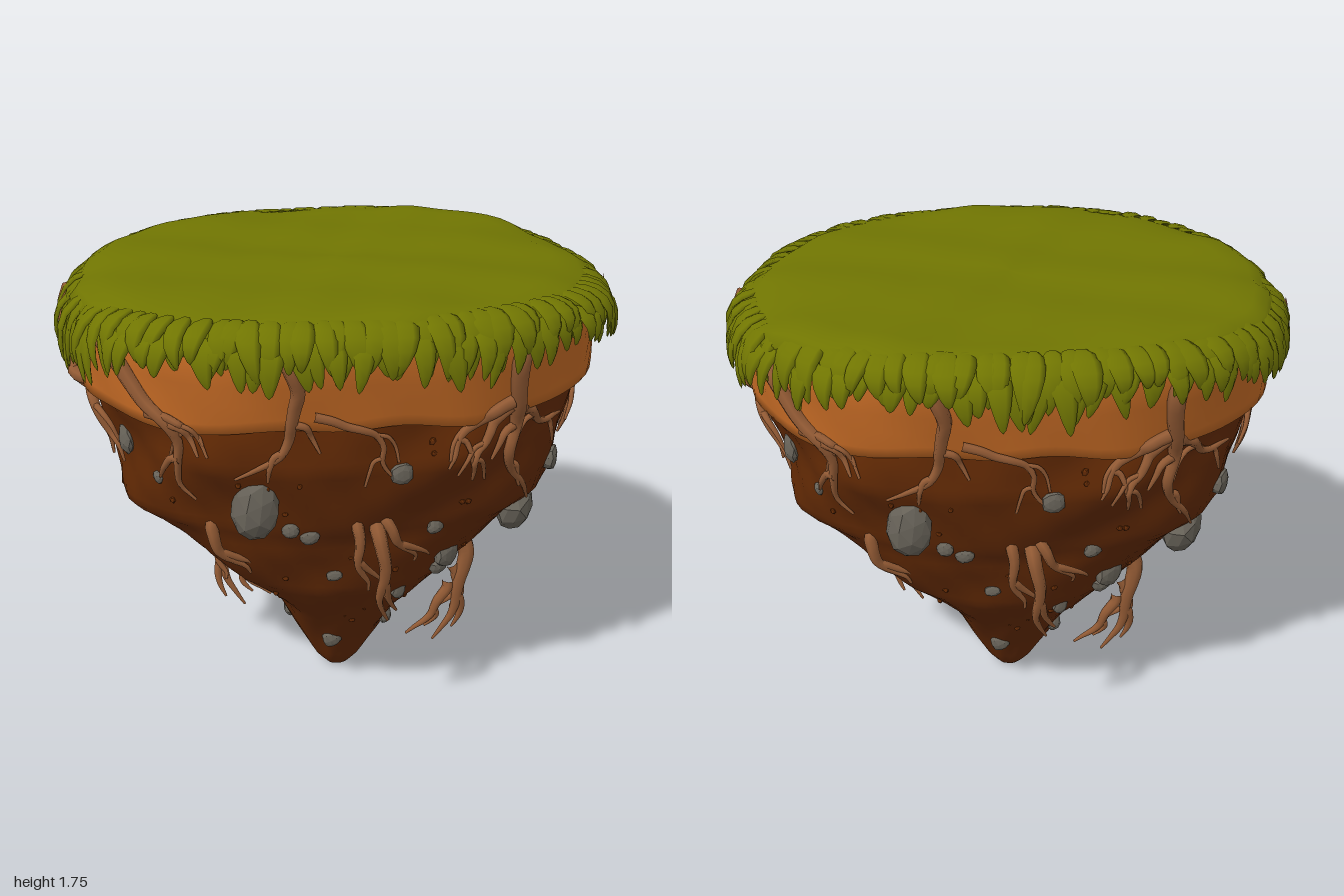
import * as THREE from 'three';
import { mergeGeometries } from 'three/addons/utils/BufferGeometryUtils.js';

const { sin, cos, abs, atan2, PI } = Math;
const V = (x, y, z) => new THREE.Vector3(x, y, z);
const mat = (name, color, extra = {}) => new THREE.MeshStandardMaterial({ name, color, ...extra });

// Half-widths by height: [y, x radius, z radius]
const DIRT = [[0, 0.005, 0.005], [0.01, 0.05, 0.06], [0.05, 0.085, 0.095], [0.2, 0.165, 0.175], [0.4, 0.265, 0.31],
  [0.6, 0.48, 0.465], [0.8, 0.67, 0.55], [0.87, 0.75, 0.57], [0.92, 0.82, 0.595], [1.2, 0.865, 0.695], [1.4, 0.9, 0.7]];
const CLAY = [[1.335, 0.87, 0.67], [1.35, 0.935, 0.715], [1.6, 0.945, 0.77], [1.7, 0.9, 0.76]];

let seed = 7;
const rnd = () => (seed = (seed * 16807) % 2147483647) / 2147483647;

// Point on a rounded-oval ring
function ring(a, y, rx, rz, k = 1) {
  const c = cos(a), s = sin(a), n = 2.25;
  const r = k / ((abs(c) / rx) ** n + (abs(s) / rz) ** n) ** (1 / n);
  return V(c * r, y, s * r);
}

// Lumps in the ground; they repeat after half a turn
const lumps = (a, y) => 1 + 0.02 * sin(2 * a) * (sin(4 * a - 9 * y + 1) + sin(8 * a + 15 * y))
  + 0.009 * sin(10 * a + 17 * y) + 0.006 * sin(22 * a - 25 * y);
const clayLumps = (a, y) => 1 + 0.006 * (sin(6 * a + 5 * y) + sin(14 * a - 16 * y));

function radii(rows, y) {
  const i = Math.max(1, rows.findIndex((row) => row[0] >= y));
  const [p, q] = [rows[i - 1], rows[i]];
  const t = THREE.MathUtils.clamp((y - p[0]) / (q[0] - p[0]), 0, 1);
  return [1, 2].map((n) => p[n] + (q[n] - p[n]) * t);
}
const dirtPoint = (a, y) => ring(a, y, ...radii(DIRT, y), lumps(a, y));
const clayPoint = (a, y) => ring(a, y, ...radii(CLAY, y), clayLumps(a, y));

// Ground point at angle a, lifted outwards
const ground = (a, y, out = 0) => (y > 1.35 ? clayPoint : dirtPoint)(a, y).add(V(cos(a) * out, 0, sin(a) * out));

// Ground point seen at u across the front (or across the +x side)
function at(u, y, out = 0, side = false) {
  const miss = (p) => abs((side ? p.z : p.x) - u);
  let best = ground(side ? 0 : PI / 2, y, out);
  for (let i = -80; i <= 80; i++) {
    const p = ground((side ? 0 : PI / 2) + (i / 80) * 1.55, y, out);
    if (miss(p) < miss(best)) best = p;
  }
  return best;
}

// Closed skin through rings of points, listed from the bottom up
function skin(rows, point, seg = 96) {
  const pos = [], idx = [];
  rows.forEach((row, j) => {
    for (let i = 0; i < seg; i++) {
      pos.push(...point((i / seg) * PI * 2, row, j).toArray());
      if (j === 0) continue;
      const n = (i + 1) % seg, low = (j - 1) * seg, high = j * seg;
      idx.push(low + i, high + i, low + n, low + n, high + i, high + n);
    }
  });
  const g = new THREE.BufferGeometry();
  g.setAttribute('position', new THREE.Float32BufferAttribute(pos, 3));
  g.setIndex(idx);
  g.computeVertexNormals();
  return g;
}

// Tapered root through points
function taper(points, radius) {
  const curve = new THREE.CatmullRomCurve3(points), seg = 3 * points.length, sides = 7;
  const g = new THREE.TubeGeometry(curve, seg, 1, sides), p = g.attributes.position, v = V();
  for (let i = 0; i < p.count; i++) {
    const t = Math.floor(i / (sides + 1)) / seg, c = curve.getPointAt(t);
    v.fromBufferAttribute(p, i).sub(c).multiplyScalar(radius + (0.005 - radius) * t ** 1.4).add(c);
    p.setXYZ(i, v.x, v.y, v.z);
  }
  return g;
}

const steps = Array.from({ length: 9 }, (_, i) => i / 8);

// Root creeping over the ground from (u0, y0) to (u1, y1), bowed sideways, with two short twigs
function creeper([radius, u0, y0, u1, y1, bow], side) {
  const du = u1 - u0, dy = y1 - y0, len = Math.hypot(du, dy);
  const spot = (t) => {
    const b = (bow * sin(PI * t) + 0.06 * len * sin(11 * t + 20 * u0) * t) / len;
    return [u0 + du * t - dy * b, y0 + dy * t + du * b];
  };
  const lift = side ? 0.02 : 0.012;
  const twigs = [[0.5, 0.09], [0.72, -0.06]].map(([from, lean]) => {
    const [u, y] = spot(from), way = bow < 0 ? -lean : lean;
    return taper([0, 0.33, 0.67, 1].map((t) => at(u + way * t ** 0.7, y - 0.11 * t * t, lift, side)), radius * 0.5);
  });
  return [taper(steps.map((t) => at(...spot(t), lift, side)), radius), ...twigs];
}

// Root hanging free from one point to another, bulging outwards, with a fork near its tip
function hanger([radius, x0, y0, z0, x1, y1, z1, bulge]) {
  const start = V(x0, y0, z0), end = V(x1, y1, z1), out = V(x0, 0, z0).normalize();
  const spot = (t) => {
    const p = start.clone().lerp(end, t).addScaledVector(out, bulge * sin(PI * t ** 0.6));
    p.x += 0.022 * sin(9 * t + 9 * y1) * t;
    return p;
  };
  const fork = steps.map((t) => spot(0.55 + 0.35 * t).add(V(0.05 * t ** 0.6 * (x1 > 0.4 ? -1 : 1), 0, -0.01 * t)));
  return [taper(steps.map(spot), radius), taper(fork, radius * 0.6)];
}

// Chipped stone set into the ground, its depth axis facing outwards
function stone(p, w, h, detail = 1) {
  const g = new THREE.IcosahedronGeometry(1, detail), q = g.attributes.position, s = rnd() * 6;
  for (let i = 0; i < q.count; i++) {
    const x = q.getX(i), y = q.getY(i), z = q.getZ(i);
    const k = 1 + 0.08 * sin(3 * x + s) + 0.06 * sin(4 * y + 2 * s) + 0.05 * sin(5 * z + s);
    q.setXYZ(i, x * k, y * k, z * k);
  }
  g.scale(w, h, Math.min(w, h) * 0.65).rotateZ((rnd() - 0.5) * 0.6).rotateY(atan2(p.x, p.z)).translate(p.x, p.y, p.z);
  return g;
}

// Drop of the turf towards its rim, strongest at the left and right ends
const droop = (a, k) => 0.045 * cos(a) ** 4 * k ** 6;

// Flat pointed leaf lying on the turf edge at angle a and curling over it
function leaf(a, inset, y, len, w, reach) {
  const g = new THREE.SphereGeometry(1, 6, 8), p = g.attributes.position;
  const rim = (b) => ring(b, y, 0.955 - inset, 0.8 - inset);
  const base = rim(a), along = rim(a + 0.01).sub(rim(a - 0.01)).normalize();
  const outward = V(along.z, 0, -along.x), lean = (rnd() - 0.5) * 0.5, top = y - droop(a, 1);
  for (let i = 0; i < p.count; i++) {
    const t = (1 - p.getY(i)) / 2, thick = p.getZ(i) * 0.013;
    const across = p.getX(i) * w * (1.15 - 0.6 * t) + lean * len * t * t;
    const out = reach * sin(t * 1.9) + thick * t;
    const v = base.clone().addScaledVector(along, -across).addScaledVector(outward, out);
    p.setXYZ(i, v.x, top - len * t ** 2 + thick * (1 - t), v.z);
  }
  g.computeVertexNormals();
  return g;
}

export function createModel() {
  const model = new THREE.Group();
  const grass = mat('grass green', 0x707502), clay = mat('orange clay', 0xc66b25), dirt = mat('brown dirt', 0x632a04);
  const rock = mat('grey rock', 0x69645a, { flatShading: true }), bark = mat('root brown', 0x925a34);
  const add = (name, geo, material, parent = model) => {
    const m = new THREE.Mesh(geo, material);
    m.name = name;
    parent.add(m);
  };

  // Earth cone and clay band with a wavy lower edge
  const levels = [0, 0.01, 0.03];
  for (let y = 0.06; y < 1.4; y += 0.03) levels.push(y);
  add('dirtCone', skin(levels, dirtPoint), dirt);
  add('clayBand', skin([1.335, 1.35, 1.39, 1.45, 1.52, 1.6, 1.65, 1.7], (a, y, j) => {
    const p = clayPoint(a, y);
    if (j < 3) p.y += 0.012 * sin(4 * a + 1) + 0.008 * sin(10 * a);
    if (j === 7) p.y -= droop(a, 1);
    return p;
  }), clay);

  // Uneven turf: [y, share of full width]
  const turf = [[1.6, 0.93], [1.645, 0.985], [1.69, 0.99], [1.72, 0.96], [1.738, 0.91], [1.74, 0.82], [1.74, 0.7],
    [1.738, 0.55], [1.735, 0.4], [1.735, 0.25], [1.735, 0.12], [1.735, 0.002]];
  add('turf', skin(turf, (a, [y, k]) => {
    const p = ring(a, y, 0.955, 0.8, k * (1 + 0.008 * sin(9 * a) + 0.006 * sin(23 * a)));
    p.y += 0.007 * sin(5 * p.x + 3 * p.z) + 0.006 * sin(13 * p.z - 6 * p.x) + 0.004 * sin(17 * p.x + 9 * p.z) - droop(a, k);
    return p;
  }), grass);

  // Two rows of leaves around the rim
  const leaves = [], count = 92;
  for (let i = 0; i < count * 2; i++) {
    const upper = i >= count, a = ((i + (upper ? 0.5 : 0) + (rnd() - 0.5) * 0.6) / count) * PI * 2;
    const len = 0.11 + 0.025 * sin(4 * a + 2) + 0.02 * sin(7 * a) + 0.035 * cos(a) ** 2 + rnd() * 0.05;
    leaves.push(leaf(a, upper ? 0.09 : 0.04, upper ? 1.733 : 1.695, len, 0.04 + rnd() * 0.014, (upper ? 0.115 : 0.068) + rnd() * 0.03));
  }
  add('leafFringe', mergeGeometries(leaves), grass);

  // Creeping roots: radius, start, end, bow
  const frontRoots = [[0.034, 0.5, 1.66, 0.58, 0.93, -0.04], [0.024, 0.48, 1.4, 0.25, 1.2, -0.04], [0.02, 0.47, 1.38, 0.34, 1.12, -0.03],
    [0.022, 0.49, 1.4, 0.73, 1.22, -0.02], [0.028, -0.31, 1.66, -0.43, 1.17, 0.11], [0.032, -0.86, 1.62, -0.58, 1.05, 0.05],
    [0.018, -0.73, 1.39, -0.55, 1.29, 0.03], [0.016, -0.2, 1.42, 0.08, 1.14, 0.07]];
  const sideRoots = [[0.036, 0.11, 1.64, 0, 1.15, -0.04], [0.026, 0.02, 1.38, 0.17, 1.05, 0.07], [0.026, 0.02, 1.38, -0.23, 1.08, -0.09]];

  // Hanging roots: radius, start, end, bulge
  const hangingRoots = [[0.03, 0.03, 0.97, 0.55, 0.08, 0.5, 0.52, 0.09], [0.024, -0.04, 0.99, 0.56, 0.0, 0.66, 0.56, 0.06],
    [0.024, 0.04, 0.99, 0.55, 0.19, 0.75, 0.53, 0.07], [0.026, -0.5, 0.95, 0.42, -0.4, 0.7, 0.43, 0.07],
    [0.034, 0.45, 0.67, 0.24, 0.38, 0.18, 0.2, 0.04], [0.024, 0.42, 0.54, 0.23, 0.45, 0.31, 0.2, 0.02],
    [0.024, 0.41, 0.46, 0.22, 0.27, 0.22, 0.2, 0.02]];
  const roots = [...frontRoots.flatMap((r) => creeper(r, false)), ...sideRoots.flatMap((r) => creeper(r, true)), ...hangingRoots.flatMap(hanger)];

  // Rocks: place across the front, height, half-width, half-height
  const stones = [[-0.38, 1.05, 0.095, 0.125], [0.62, 0.84, 0.12, 0.105], [-0.79, 1.2, 0.04, 0.06], [-0.7, 1.1, 0.025, 0.025],
    [0.75, 1.02, 0.055, 0.05], [0.34, 0.7, 0.06, 0.05], [0.32, 0.64, 0.045, 0.045], [0.09, 1.18, 0.04, 0.04], [0.26, 0.9, 0.04, 0.03],
    [-0.27, 0.945, 0.035, 0.03], [-0.2, 0.91, 0.04, 0.028], [-0.1, 0.7, 0.03, 0.025], [0.16, 0.56, 0.028, 0.036],
    [0.17, 0.3, 0.035, 0.04], [0.2, 0.26, 0.035, 0.04], [-0.05, 0.22, 0.038, 0.045]].map(([x, y, w, h]) => stone(at(x, y), w, h));

  // Small crumbs scattered over the dirt
  const crumbs = Array.from({ length: 30 }, () => {
    const r = 0.006 + rnd() * 0.01;
    return stone(ground(rnd() * PI, 0.35 + rnd() * 0.95), r, r, 0);
  });

  // The details repeat on the other half, turned half round
  for (const half of ['front', 'back']) {
    const g = new THREE.Group();
    g.name = half + 'Details';
    add('roots', mergeGeometries(roots), bark, g);
    add('rocks', mergeGeometries(stones), rock, g);
    add('crumbs', mergeGeometries(crumbs), dirt, g);
    if (half === 'back') g.rotation.y = PI;
    model.add(g);
  }
  return model;
}
